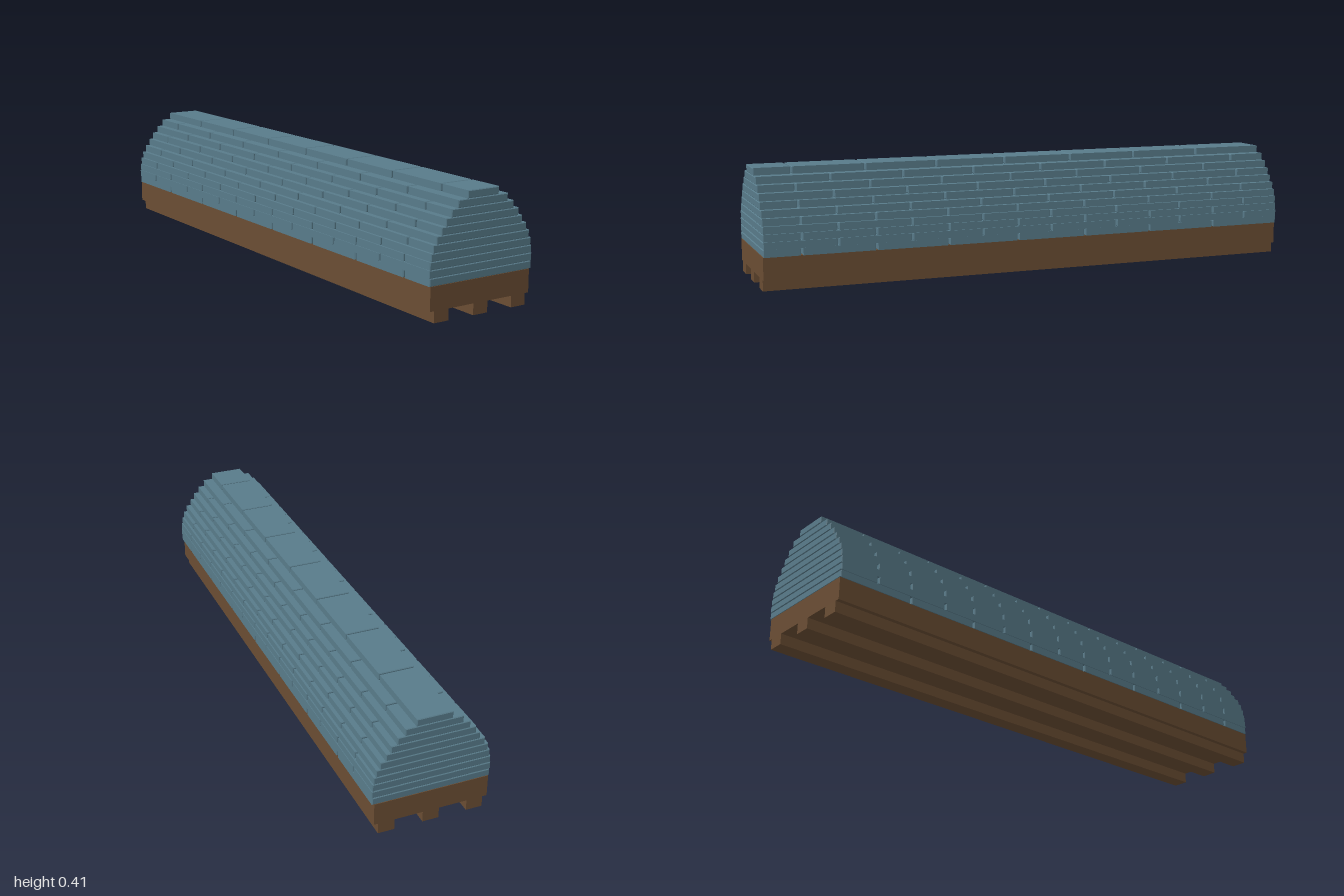
import * as THREE from 'three';

const slate = new THREE.MeshStandardMaterial({ color: 0x587b8a, flatShading: true });
const wood = new THREE.MeshStandardMaterial({ color: 0x6a4d33, flatShading: true });

// Box with small chamfers on every edge, spanning the given ranges
function chamferedBox(x0, x1, y0, y1, z0, z1, c) {
  const s = new THREE.Shape();
  const [l, r, b, t] = [x0 + c, x1 - c, y0 + c, y1 - c];
  s.moveTo(l, b).lineTo(r, b).lineTo(r, t).lineTo(l, t).closePath();
  const g = new THREE.ExtrudeGeometry(s, {
    depth: z1 - z0 - 2 * c, bevelEnabled: true, bevelSize: c, bevelThickness: c, bevelSegments: 1,
  });
  return g.translate(0, 0, z0 + c);
}

function plainBox(x0, x1, y0, y1, z0, z1) {
  return new THREE.BoxGeometry(x1 - x0, y1 - y0, z1 - z0)
    .translate((x0 + x1) / 2, (y0 + y1) / 2, (z0 + z1) / 2);
}

function add(parent, name, geometry, material) {
  const mesh = new THREE.Mesh(geometry, material);
  mesh.name = name;
  parent.add(mesh);
}

export function createModel() {
  const model = new THREE.Group();
  model.name = 'vaultedStack';

  // Wooden deck on three full-length runners
  const base = new THREE.Group();
  base.name = 'base';
  add(base, 'deck', plainBox(-0.205, 0.2, 0.039, 0.119, -1, 1), wood);
  for (const x of [-0.16, -0.002, 0.156]) {
    add(base, 'runner', plainBox(x - 0.029, x + 0.029, 0, 0.039, -1, 1), wood);
  }
  model.add(base);

  // Stacked courses, bottom to top, with staggered joints
  const halfWidths = [0.208, 0.21, 0.208, 0.204, 0.196, 0.183, 0.164, 0.148, 0.126, 0.101, 0.063];
  const joints = [
    [-0.72, -0.45, -0.185, 0.078, 0.341, 0.605, 0.868],
    [-0.855, -0.576, -0.313, -0.05, 0.213, 0.476, 0.74],
  ];
  const bottom = 0.119, step = 0.0262, gap = 0.003;
  halfWidths.forEach((w, i) => {
    const course = new THREE.Group();
    course.name = `course${i + 1}`;
    const y = bottom + i * step;
    const cuts = [-1 - gap, ...joints[i % 2], 1 + gap];
    for (let k = 0; k < cuts.length - 1; k++) {
      add(course, 'block',
        chamferedBox(-w, w, y, y + step - 0.0004, cuts[k] + gap, cuts[k + 1] - gap, 0.0025), slate);
    }
    model.add(course);
  });
  return model;
}
